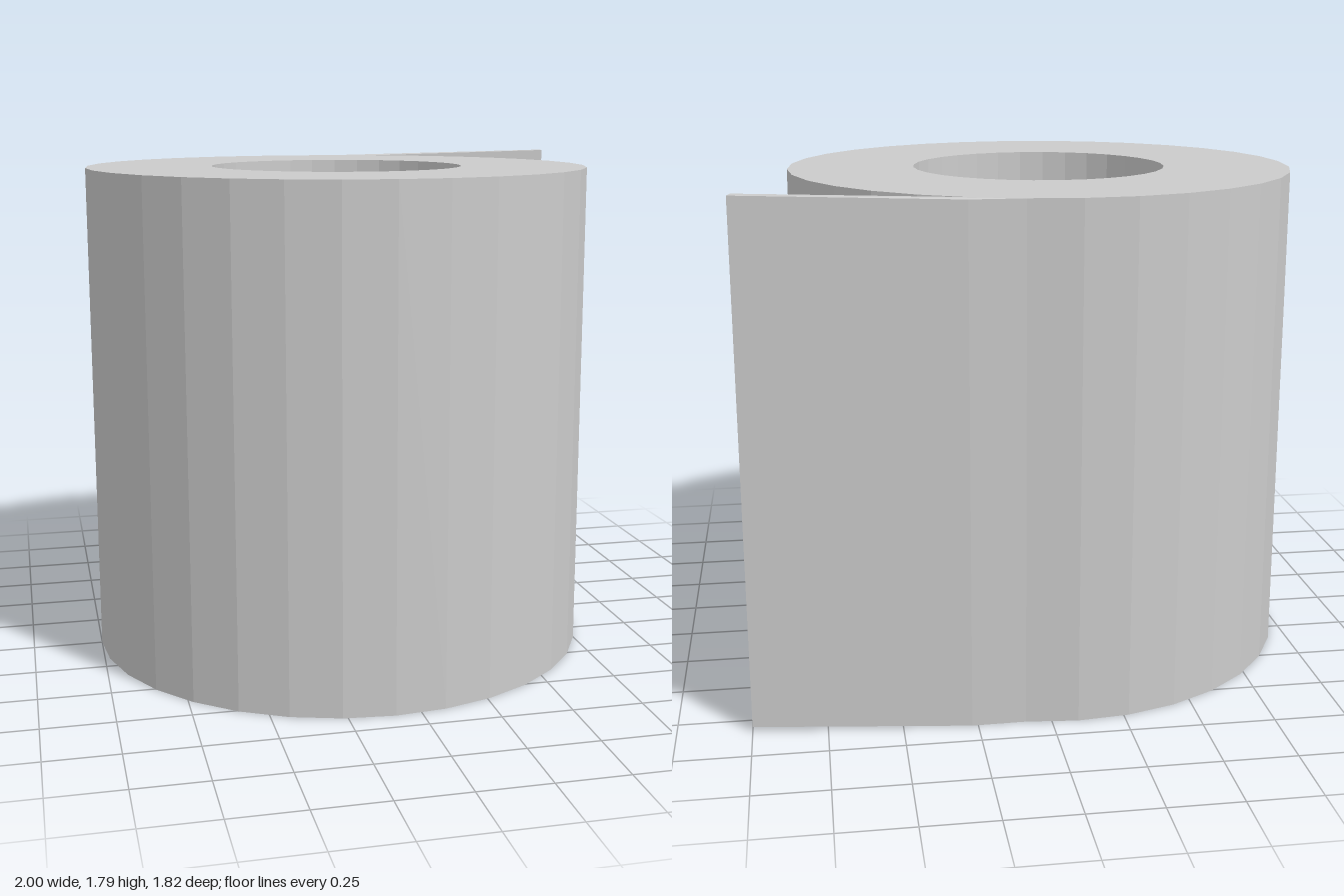
import * as THREE from 'three';

const HEIGHT = 1.77, CENTER_X = -0.09, OUTER = 0.91, INNER = 0.457, SIDES = 32;

// Points of a regular polygon around the roll's axis
function ring(radius) {
  return Array.from({ length: SIDES }, (_, i) => {
    const a = (i / SIDES) * Math.PI * 2;
    return new THREE.Vector2(CENTER_X + radius * Math.cos(a), radius * Math.sin(a));
  });
}

// Extrude a plan outline (x, -z) upwards
function extrudeUp(shape) {
  return new THREE.ExtrudeGeometry(shape, { depth: HEIGHT, bevelEnabled: false }).rotateX(-Math.PI / 2);
}

export function createModel() {
  const group = new THREE.Group();
  group.name = 'paperRoll';
  const material = new THREE.MeshStandardMaterial({ color: 0xcccccc, flatShading: true });

  // Thick hollow roll
  const outline = ring(OUTER);
  const rollShape = new THREE.Shape(outline);
  rollShape.holes.push(new THREE.Path(ring(INNER)));
  const roll = new THREE.Mesh(extrudeUp(rollShape), material);
  roll.name = 'roll';
  group.add(roll);

  // Loose sheet leaving the back of the roll, starting on one of its facets
  const start = outline[7], inner = outline[6];
  const sheetShape = new THREE.Shape([
    start,
    inner,
    new THREE.Vector2(0.99, 0.787),
    new THREE.Vector2(1.0, 0.835),
    new THREE.Vector2(0.27, 0.895),
  ]);
  const sheetGeometry = extrudeUp(sheetShape);

  // The free end drifts slightly upwards
  const p = sheetGeometry.attributes.position;
  for (let i = 0; i < p.count; i++) {
    const t = Math.max(0, (p.getX(i) - 0.27) / 0.73);
    p.setY(i, p.getY(i) + 0.018 * t);
  }
  sheetGeometry.computeVertexNormals();
  const sheet = new THREE.Mesh(sheetGeometry, material);
  sheet.name = 'looseSheet';
  group.add(sheet);

  return group;
}
